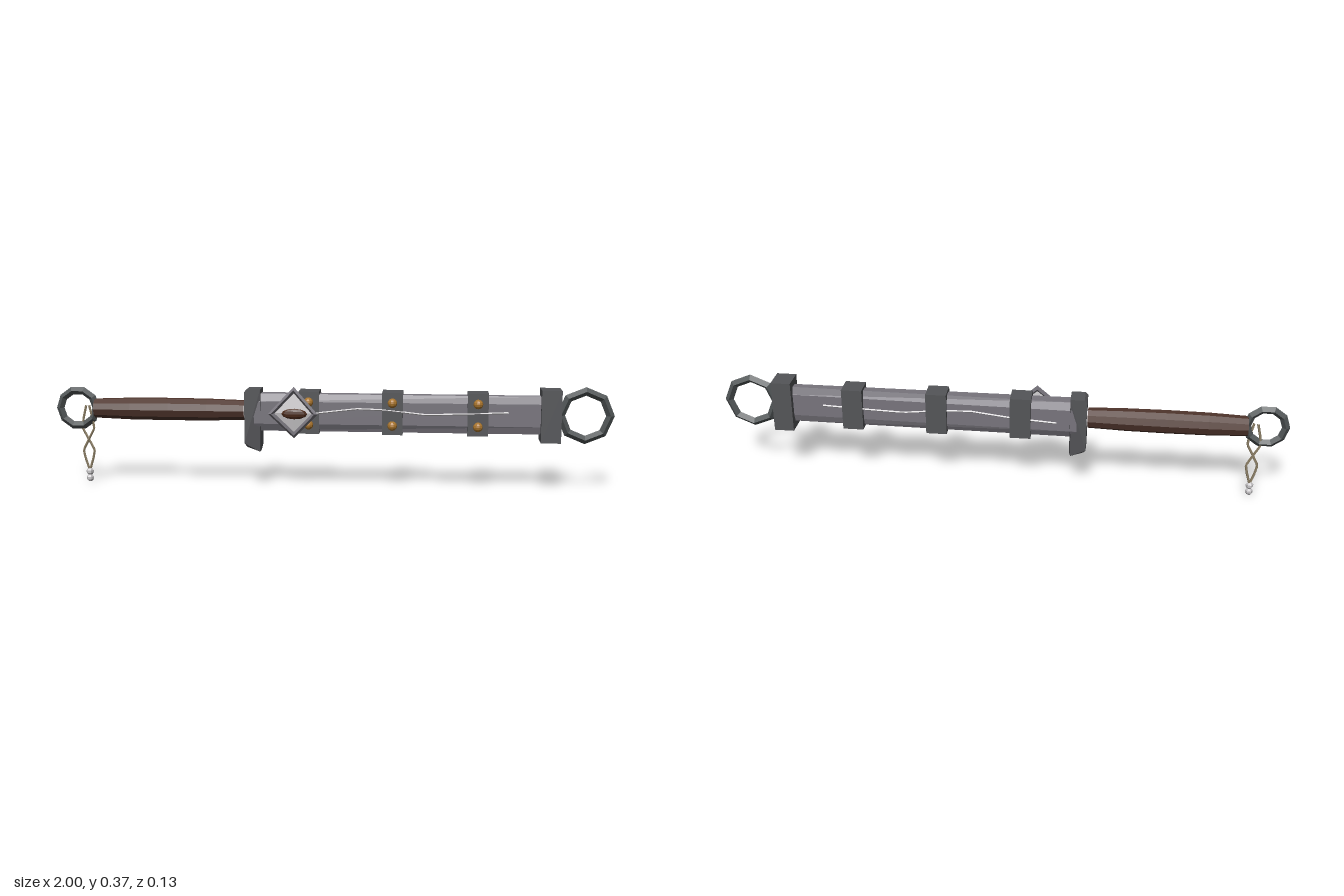
import * as THREE from 'three';

const CY = 0.275; // height of the long axis
const CZ = -0.02; // depth of the long axis

const paint = (name, color) => {
  const m = new THREE.MeshStandardMaterial({ color, flatShading: true });
  m.name = name;
  return m;
};

// Applies a rule to every vertex of a geometry
function warp(geo, rule) {
  const p = geo.attributes.position;
  const v = new THREE.Vector3();
  for (let i = 0; i < p.count; i++) {
    v.fromBufferAttribute(p, i);
    rule(v);
    p.setXYZ(i, v.x, v.y, v.z);
  }
  geo.computeVertexNormals();
  return geo;
}

// Straight-segmented path through the given points
function polyline(points) {
  const path = new THREE.CurvePath();
  for (let i = 1; i < points.length; i++) path.add(new THREE.LineCurve3(points[i - 1], points[i]));
  return path;
}

export function createModel() {
  const root = new THREE.Group();
  root.name = 'sheathedDagger';
  const iron = paint('dark iron', 0x545558);
  const ringIron = paint('ring iron', 0x505556);
  const steel = paint('sheath steel', 0x77747c);
  const wood = paint('dark wood', 0x4e342b);
  const brass = paint('brass', 0xa8742c);
  const silver = paint('silver', 0xc8c6c8);
  const cord = paint('tan cord', 0x8c7f66);
  const brown = paint('iris brown', 0x4a2a1a);

  const add = (name, geo, mat, x = 0, y = 0, z = 0) => {
    const mesh = new THREE.Mesh(geo, mat);
    mesh.name = name;
    mesh.position.set(x, y, z);
    root.add(mesh);
    return mesh;
  };

  // End rings
  add('pommelRing', new THREE.TorusGeometry(0.066, 0.014, 4, 10), ringIron, -0.92, CY, CZ);
  add('sheathRing', new THREE.TorusGeometry(0.086, 0.015, 4, 8), ringIron, 0.899, CY - 0.003, CZ);

  // Grip, slightly swollen in the middle
  const gripProfile = [[0, -0.275], [0.035, -0.275], [0.04, -0.14], [0.041, 0], [0.04, 0.14], [0.036, 0.275], [0, 0.275]]
    .map(([r, y]) => new THREE.Vector2(r, y));
  const grip = new THREE.LatheGeometry(gripProfile, 10);
  grip.rotateZ(-Math.PI / 2);
  add('grip', grip, wood, -0.582, CY, CZ - 0.003);
  const collar = new THREE.CylinderGeometry(0.033, 0.033, 0.012, 10);
  collar.rotateZ(Math.PI / 2);
  add('gripCollar', collar, silver, -0.305, CY, CZ);

  // Guard with a long lower arm, chamfered at its tip
  const guardShape = new THREE.Shape([
    [-0.304, 0.16], [-0.296, 0.145], [-0.25, 0.128], [-0.246, 0.15],
    [-0.246, 0.355], [-0.295, 0.355], [-0.304, 0.345],
  ].map(([x, y]) => new THREE.Vector2(x, y)));
  const guard = new THREE.ExtrudeGeometry(guardShape, { depth: 0.07, bevelEnabled: false });
  guard.translate(0, 0, -0.035);
  warp(guard, v => { if (v.y < 0.149) v.z *= 0.6; });
  add('guard', guard, iron, 0, 0, CZ);

  // Sheath: eight-sided section, thinner towards the end
  const section = [];
  for (const [z, y] of [[0.034, 0.04], [0.02, 0.067]]) section.push([z, y]);
  const half = [...section, ...section.slice().reverse().map(([z, y]) => [-z, y])];
  const outline = [...half, ...half.map(([z, y]) => [-z, -y])].map(([z, y]) => new THREE.Vector2(z, y));
  const sheath = new THREE.ExtrudeGeometry(new THREE.Shape(outline), { depth: 1.03, bevelEnabled: false });
  sheath.rotateY(Math.PI / 2);
  warp(sheath, v => { v.z *= 1 - 0.38 * v.x / 1.03; });
  add('sheath', sheath, steel, -0.27, CY - 0.003, CZ);
  add('sheathCap', new THREE.BoxGeometry(0.07, 0.185, 0.085), iron, 0.778, CY - 0.004, CZ);

  // Straps, each with two rivets
  for (const x of [-0.073, 0.224, 0.524]) {
    add('strap', new THREE.BoxGeometry(0.073, 0.151, 0.077), iron, x, CY - 0.001, CZ - 0.003);
    for (const y of [0.313, 0.232]) add('rivet', new THREE.SphereGeometry(0.017, 10, 8), brass, x, y, 0.021);
  }

  // Thin silver inlay on both broad sides
  const inlayPoints = [[-0.2, 0.262], [-0.05, 0.272], [0.1, 0.29], [0.2, 0.287], [0.34, 0.272], [0.47, 0.276], [0.63, 0.283]];
  for (const side of [1, -1]) {
    const pts = inlayPoints.map(([x, y]) => new THREE.Vector3(x, y, CZ + side * 0.0345));
    add('inlay', new THREE.TubeGeometry(polyline(pts), 36, 0.0035, 4), silver);
  }

  // Eye ornament: diamond frame whose side corners bend forward
  const frame = warp(new THREE.TorusGeometry(0.077, 0.011, 4, 4), v => {
    v.z += 0.032 * Math.abs(v.x) / 0.085;
    v.y *= 1.05;
  });
  add('eyeFrame', frame, steel, -0.125, CY, 0.022);
  const eye = warp(new THREE.OctahedronGeometry(0.072), v => {
    v.z = v.z * 0.18 + 0.012 * Math.abs(v.x) / 0.072;
  });
  add('eyeWhite', eye, silver, -0.125, CY, 0.021);
  const iris = new THREE.SphereGeometry(1, 10, 6);
  iris.scale(0.046, 0.019, 0.011);
  add('eyeIris', iris, brown, -0.122, CY - 0.003, 0.034);

  // Twisted cord hanging from the pommel ring, ending in two beads
  for (const s of [1, -1]) {
    const pts = [[0.006, 0.285], [0.018, 0.235], [0.022, 0.2], [-0.002, 0.155], [-0.02, 0.12], [-0.014, 0.09], [0, 0.045]]
      .map(([x, y]) => new THREE.Vector3(-0.885 + s * x, y, CZ + s * 0.002));
    add('cordStrand', new THREE.TubeGeometry(polyline(pts), 24, 0.0045, 5), cord);
  }
  for (const y of [0.04, 0.016]) add('bead', new THREE.SphereGeometry(0.014, 6, 5), silver, -0.885, y, CZ);

  return root;
}
